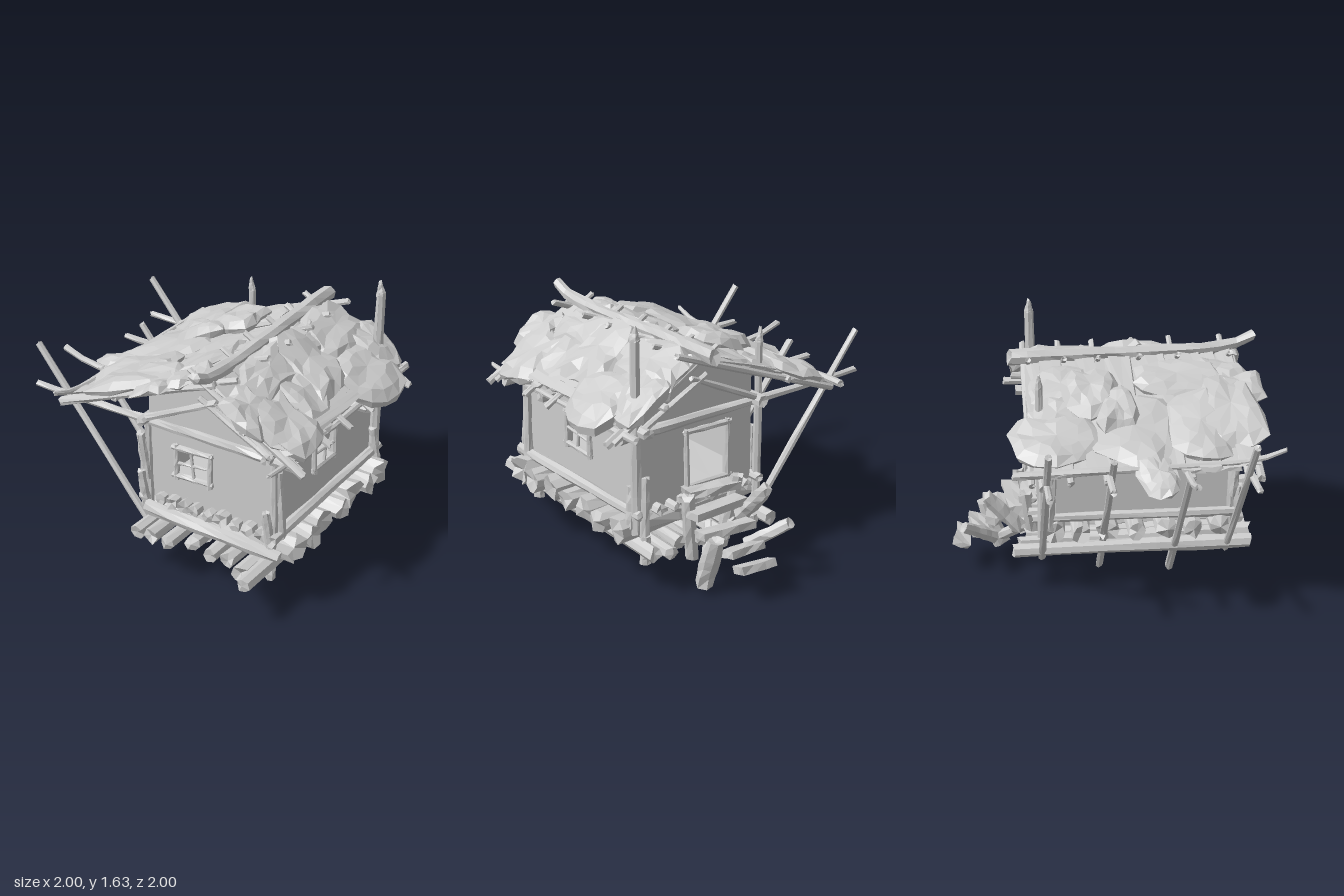
import * as THREE from 'three';

const grey = new THREE.MeshStandardMaterial({ color: 0xcccccc, flatShading: true, side: THREE.DoubleSide });
const hash = (x, y, z) => {
  const s = Math.sin(Math.round(x * 500) * 12.9898 + Math.round(y * 500) * 78.233 + Math.round(z * 500) * 37.719) * 43758.5453;
  return s - Math.floor(s);
};
const RIDGE = 0.33;
const roofY = (x) => 1.36 - (x < RIDGE ? 0.37 * (RIDGE - x) : 0.58 * (x - RIDGE));

export function createModel() {
  const root = new THREE.Group();
  const group = (name) => {
    const g = new THREE.Group();
    g.name = name;
    root.add(g);
    return g;
  };
  const add = (parent, name, geo) => {
    const m = new THREE.Mesh(geo, grey);
    m.name = name;
    parent.add(m);
    return m;
  };
  const V = (p) => new THREE.Vector3(...p);

  // Rough log from a to b; bend lifts the b end like a horn
  function log(parent, name, a, b, r, bend = 0, taper = 0.85, sides = 7) {
    const A = V(a), B = V(b), d = B.clone().sub(A), L = d.length();
    const g = new THREE.CylinderGeometry(r * taper, r, L, sides, bend ? 14 : 5);
    const p = g.attributes.position, v = new THREE.Vector3();
    const q = new THREE.Quaternion().setFromUnitVectors(new THREE.Vector3(0, 1, 0), d.normalize());
    for (let i = 0; i < p.count; i++) {
      v.fromBufferAttribute(p, i);
      const t = v.y / L + 0.5;
      const j = 0.84 + 0.3 * hash(v.x * 9 + a[0], v.y + a[1], v.z * 9 + a[2]);
      const end = t < 0.01 || t > 0.99 ? (hash(v.x * 9, v.z * 9, a[0] + a[2]) - 0.5) * r * 0.7 : 0;
      v.set(v.x * j, v.y + end, v.z * j).applyQuaternion(q).addScaledVector(A, 0.5).addScaledVector(B, 0.5);
      v.y += bend * Math.max(t, 0) ** 12;
      p.setXYZ(i, v.x, v.y, v.z);
    }
    return add(parent, name, g);
  }

  // Rough board with centre, size and rotation
  function board(parent, name, pos, size, rot = [0, 0, 0]) {
    const g = new THREE.BoxGeometry(...size, 3, 1, 2), p = g.attributes.position;
    for (let i = 0; i < p.count; i++) {
      const k = hash(p.getX(i) + pos[0], p.getY(i) + pos[1], p.getZ(i) + pos[2]) - 0.5;
      p.setXYZ(i, p.getX(i) + k * 0.03, p.getY(i) + k * size[1] * 0.4, p.getZ(i) - k * 0.03);
    }
    const m = add(parent, name, g);
    m.position.set(...pos);
    m.rotation.set(...rot);
  }

  // Walls with openings
  const walls = group('walls');
  const rect = (x0, x1, y0, y1) => new THREE.Path([[x0, y0], [x0, y1], [x1, y1], [x1, y0]].map((c) => new THREE.Vector2(...c)));
  function wall(name, pts, hole) {
    const s = new THREE.Shape(pts.map((c) => new THREE.Vector2(...c)));
    if (hole) s.holes.push(rect(...hole));
    return add(walls, name, new THREE.ExtrudeGeometry(s, { depth: 0.025, bevelEnabled: false }));
  }
  const gable = [[-0.11, 0.48], [0.72, 0.48], [0.72, 1.12], [RIDGE, 1.345], [-0.11, 1.18]];
  wall('frontWall', gable, [0.08, 0.3, 0.69, 0.86]).position.z = 0.69;
  wall('backWall', gable, [0.08, 0.38, 0.56, 0.9]).position.z = -0.43;
  const side = (h) => [[-0.7, 0.48], [0.43, 0.48], [0.43, h], [-0.7, h]];
  const left = wall('leftWall', side(1.11), [-0.26, -0.04, 0.7, 0.88]);
  left.rotation.y = Math.PI / 2;
  left.position.x = 0.695;
  const right = wall('rightWall', side(1.17));
  right.rotation.y = Math.PI / 2;
  right.position.x = -0.11;
  board(walls, 'innerFloor', [0.305, 0.54, 0.14], [0.8, 0.02, 1.1]);

  // Window and door frames; at(u, y) maps frame coordinates to space
  function frame(name, at, u0, u1, y0, y1, window) {
    const g = group(name), o = 0.02;
    for (const u of [u0, u1]) log(g, 'jamb', at(u, y0 - o), at(u + 0.005, y1 + o), 0.019);
    for (const y of [y0, y1]) log(g, 'rail', at(u0 - o, y), at(u1 + o, y + 0.008), 0.019);
    if (!window) return;
    const um = (u0 + u1) / 2, ym = (y0 + y1) / 2;
    log(g, 'mullion', at(um + 0.008, y0), at(um - 0.015, y1), 0.011);
    log(g, 'glazingBar', at(u0, ym - 0.01), at(u1, ym + 0.012), 0.011);
  }
  frame('frontWindow', (u, y) => [u, y, 0.725], 0.08, 0.31, 0.68, 0.865, true);
  frame('sideWindow', (u, y) => [0.73, y, u], 0.03, 0.27, 0.69, 0.885, true);
  frame('doorFrame', (u, y) => [u, y, -0.45], 0.08, 0.38, 0.56, 0.9, false);

  // Log platform in three crossed layers
  const base = group('platform');
  [[-0.13, 0.84], [-0.02, 0.86], [0.09, 0.85], [0.23, 0.8], [0.37, 0.82], [0.5, 0.84], [0.61, 0.88], [0.7, 0.99]].forEach(([x, z], i) =>
    log(base, 'runnerLog', [x, 0.28 + 0.02 * (i % 2), z], [x + 0.01, 0.28, -0.62 + 0.04 * (i % 3)], 0.048, 0, 0.9));
  [0.65, 0.48, 0.32, 0.13, -0.05, -0.21, -0.37].forEach((z, i) =>
    log(base, 'crossLog', [0.84 + 0.02 * (i % 2), 0.4, z], [-0.17 - 0.03 * (i % 2), 0.41, z], [0.085, 0.07, 0.085, 0.065][i % 4], 0, 0.8, 9));
  [-0.02, 0.07, 0.15, 0.23, 0.32, 0.41, 0.5, 0.59, 0.68].forEach((x, i) =>
    log(base, 'floorLog', [x, 0.495 + 0.012 * (i % 2), 0.76 + 0.02 * (i % 2)], [x, 0.49, -0.52 + 0.03 * (i % 3)], 0.036 + 0.005 * (i % 3)));
  log(base, 'sillLog', [0.75, 0.49, 0.78], [0.75, 0.5, -0.5], 0.036);
  log(base, 'sillLog', [-0.13, 0.49, 0.78], [-0.13, 0.5, -0.5], 0.032);
  log(base, 'frontSill', [-0.1, 0.43, 0.77], [0.8, 0.4, 0.77], 0.045);
  for (const [x, z] of [[0.69, 0.68], [0.69, -0.46], [0.12, -0.48]])
    log(base, 'stubLeg', [x, 0.17, z], [x, 0.35, z], 0.035);

  // Corner posts, two of them rising through the roof
  const posts = group('posts');
  for (const [x, z, top, r] of [[-0.12, 0.72, 1.0, 0.025], [0.73, 0.72, 1.0, 0.025], [-0.15, -0.45, 1.36, 0.027], [0.74, -0.45, 1.54, 0.035]]) {
    log(posts, 'cornerPost', [x + 0.005, 0.38, z], [x, top, z], r);
    if (top > 1) log(posts, 'postTip', [x, top - 0.01, z], [x - 0.008, top + 0.075, z], r * 0.9, 0, 0.3);
  }
  for (const [x, z, y0, y1] of [[-0.14, 0.75, 0.6, 0.9], [-0.13, 0.77, 0.42, 0.66], [0.72, 0.77, 0.4, 0.66],
    [0.75, 0.69, 0.4, 0.9], [0.76, -0.41, 0.42, 0.66], [-0.15, -0.38, 0.42, 0.8], [0.71, -0.48, 0.38, 0.72]])
    log(posts, 'splintPost', [x + 0.015, y0, z - 0.02], [x - 0.01, y1, z], 0.03);

  // Ties, rafters and long poles that carry the roof
  const framing = group('roofFrame');
  [[-0.45, -0.93], [-0.08, -0.87], [0.36, -1.0], [0.73, -0.93]].forEach(([z, x], i) =>
    log(framing, 'tieBeam', [0.85 + 0.03 * (i % 2), 0.985, z], [x, 0.985, z - 0.01 * (i % 2)], 0.033, i === 2 ? 0.08 : 0.01, 0.6));
  for (const z of [-0.53, -0.31, -0.1, 0.15, 0.39, 0.71]) {
    log(framing, 'longRafter', [-0.66, roofY(-0.66) - 0.03, z], [0.5, 1.41, z + 0.02], 0.022);
    log(framing, 'shortRafter', [0.92, 0.99, z + 0.04], [0.2, 1.405, z + 0.04], 0.02);
  }
  for (const z of [0.76, -0.49]) {
    log(framing, 'gableBrace', [-0.1, 1.02, z], [0.38, 1.25, z], 0.022);
    log(framing, 'gableBrace', [0.74, 1.01, z], [0.27, 1.25, z], 0.022);
    log(framing, 'gableRafter', [-0.7, 0.96, z + 0.02], [0.38, 1.37, z + 0.02], 0.026);
    log(framing, 'gableRafter', [0.95, 0.98, z + 0.02], [0.28, 1.38, z + 0.02], 0.024);
  }
  for (const [x, y] of [[-0.11, 1.005], [0.72, 1.01]])
    log(framing, 'wallPlate', [x, y, -0.54], [x, y, 0.8], 0.035);
  log(framing, 'ridgeLog', [0.3, 1.39, -0.6], [0.345, 1.385, 0.92], 0.05, 0.075, 0.7);
  log(framing, 'eavePole', [-0.64, 1.02, -0.64], [-0.62, 1.03, 0.93], 0.026, 0.07, 0.6);
  log(framing, 'eavePole', [0.85, 1.03, -0.62], [0.83, 1.0, 0.94], 0.024, 0.02, 0.6);
  log(framing, 'purlin', [0.62, 1.15, -0.58], [0.62, 1.15, 0.88], 0.024, 0.04);
  log(framing, 'purlin', [-0.3, 1.1, -0.56], [-0.3, 1.1, 0.8], 0.024);

  // Leaning struts under the wide eave: outer pair to the platform, inner pair to the ground
  const struts = group('struts');
  for (const z of [0.7, -0.45]) log(struts, 'outerStrut', [-0.1, 0.22, z], [-0.92, 1.25, z], 0.024);
  log(struts, 'innerStrut', [0.06, 0.02, 0.37], [-0.72, 1.01, 0.37], 0.025);
  log(struts, 'innerStrut', [0.14, 0.02, -0.07], [-0.73, 1.12, -0.07], 0.025);

  // Roof boards running down both slopes
  const deck = group('roofBoards');
  for (let i = 0; i < 12; i++) {
    const z = -0.46 + i * 0.107, k = hash(i, 2, 3);
    for (const [x0, x1] of [[-0.66 + 0.04 * k, 0.3], [0.36, 0.87 - 0.04 * k]]) {
      const dy = roofY(x1) - roofY(x0), w = x1 - x0, m = (x0 + x1) / 2;
      board(deck, 'roofBoard', [m, roofY(m) + 0.012 + 0.012 * (i % 2), z], [Math.hypot(w, dy), 0.018, 0.125], [0, 0, Math.atan2(dy, w)]);
    }
  }
  for (let i = 0; i < 4; i++)
    board(deck, 'crossBoard', [0.82 - i * 0.06, roofY(0.82 - i * 0.06) + 0.045, 0.2 + 0.03 * i], [0.1, 0.02, 0.7], [0, 0, -0.52]);

  // Ragged thatch mats: uneven crowns with faceted, drooping rims draped over the slopes
  const thatch = group('thatch');
  function mat(cx, cz, rx, rz, lift, h) {
    const n = 13, rows = [[0, 1], [0.5, 1], [0.8, 0.75], [1, 0.05], [0.93, -0.45], [0, -0.3]], pos = [], idx = [];
    const rough = cx > RIDGE ? 0.05 : 0.03;
    rows.forEach(([f, up], k) => {
      for (let i = 0; i < n; i++) {
        const a = ((i + (k === 1 ? 0.5 : 0) + hash(cx, cz, 1)) / n) * Math.PI * 2;
        const rag = 0.88 + 0.2 * hash(i, cx, cz) + 0.08 * Math.sin(a * 3 + cx * 20);
        const wave = f ? 0.012 * Math.sin(a * 2 + cz * 15) + (hash(i + cx, k, cz) - 0.5) * (k === 1 ? 0.4 : 1) * rough : 0;
        const c = Math.cos(a), s = Math.sin(a), sq = 1 / Math.pow(c ** 4 + s ** 4, 0.25);
        const x = cx + rx * f * rag * c * sq, z = cz + rz * f * rag * s * sq;
        pos.push(x, roofY(x) + lift + h * up + wave, z);
        if (k === rows.length - 1) continue;
        const j = (i + 1) % n, A = k * n + i, B = k * n + j, C = A + n, D = B + n;
        idx.push(A, D, C, A, B, D);
      }
    });
    const g = new THREE.BufferGeometry();
    g.setAttribute('position', new THREE.Float32BufferAttribute(pos, 3));
    g.setIndex(idx);
    g.computeVertexNormals();
    add(thatch, 'thatchMat', g);
  }
  [[-0.41, -0.37, 0.19, 0.26, 0.03, 0.05], [-0.34, 0.08, 0.28, 0.26, 0.03, 0.04], [-0.68, 0.19, 0.16, 0.12, 0.02, 0.03],
    [-0.22, 0.0, 0.17, 0.12, 0.06, 0.07], [-0.07, -0.14, 0.18, 0.16, 0.06, 0.07], [-0.34, 0.48, 0.28, 0.19, 0.035, 0.05],
    [-0.22, 0.68, 0.3, 0.19, 0.035, 0.055], [0.08, 0.4, 0.15, 0.28, 0.025, 0.04], [0.0, 0.77, 0.12, 0.16, 0.02, 0.04],
    [0.12, 0.66, 0.12, 0.16, 0.02, 0.04], [0.04, -0.3, 0.17, 0.2, 0.02, 0.03], [-0.2, -0.35, 0.16, 0.18, 0.02, 0.035],
    [0.53, -0.3, 0.16, 0.27, 0.04, 0.065], [0.8, -0.2, 0.18, 0.24, 0.04, 0.06], [0.59, 0.12, 0.22, 0.2, 0.05, 0.065],
    [0.7, -0.45, 0.17, 0.15, 0.05, 0.06], [0.74, 0.6, 0.18, 0.2, 0.02, 0.06], [0.58, 0.74, 0.14, 0.15, 0.02, 0.06],
    [0.5, 0.4, 0.13, 0.26, 0.04, 0.06], [0.68, 0.33, 0.16, 0.16, 0.03, 0.055], [0.47, -0.05, 0.1, 0.2, 0.04, 0.05]].forEach((m) => mat(...m));

  // Crooked back steps with their stakes
  const steps = group('backSteps');
  [[0.26, 0.21, -0.93, 0.23], [0.27, 0.28, -0.83, 0.26], [0.3, 0.37, -0.71, 0.36], [0.28, 0.46, -0.6, 0.4], [0.24, 0.54, -0.5, 0.36]].forEach(([x, y, z, w], i) =>
    board(steps, 'tread', [x, y, z], [w, 0.045, 0.1], [0.35 - 0.1 * i, 0.1 * (i % 2 ? 1 : -1), 0.04]));
  for (const [a, b, r] of [[[0.43, 0.06, -0.68], [0.43, 0.36, -0.78], 0.06], [[0.14, 0.13, -0.47], [0.07, 0.58, -0.53], 0.045],
    [[0.08, 0.35, -0.58], [0.06, 0.58, -0.78], 0.05], [[0.18, 0.24, -0.74], [0.0, 0.4, -0.92], 0.045],
    [[0.4, 0.14, -0.52], [0.46, 0.56, -0.56], 0.045], [[0.24, 0.3, -0.48], [0.42, 0.12, -0.7], 0.04]])
    log(steps, 'stake', a, b, r);

  return root;
}
